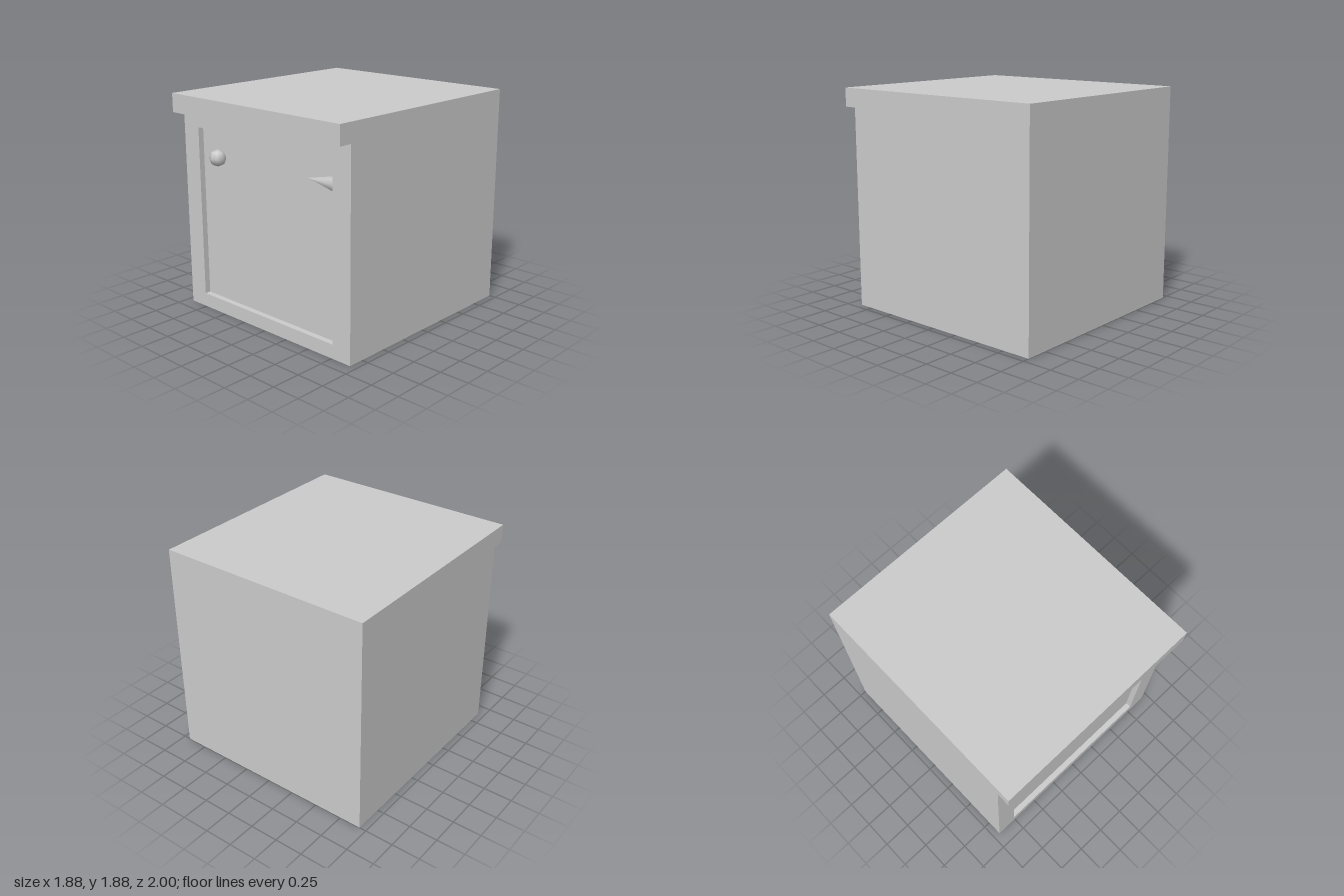
import * as THREE from 'three';

export function createModel() {
  const group = new THREE.Group();
  const material = new THREE.MeshStandardMaterial({ color: 0xcccccc });
  const W = 1.88, H = 1.88, lidY = 1.72;
  const back = -1, panelZ = 0.835, frontZ = 0.885, lidZ = 1;

  const add = (name, geometry, x, y, z) => {
    const mesh = new THREE.Mesh(geometry, material);
    mesh.name = name;
    mesh.position.set(x, y, z);
    group.add(mesh);
    return mesh;
  };

  // Cabinet carcass; its front face is the recessed door panel
  add('cabinetBody', new THREE.BoxGeometry(W, lidY, panelZ - back), 0, lidY / 2, (panelZ + back) / 2);

  // Raised frame around the door panel
  const rect = (Type, x, y0, y1) => {
    const path = new Type();
    path.moveTo(-x, y0).lineTo(x, y0).lineTo(x, y1).lineTo(-x, y1).closePath();
    return path;
  };
  const outline = rect(THREE.Shape, W / 2, 0, lidY);
  outline.holes.push(rect(THREE.Path, 0.76, 0.12, 1.6));
  add('doorFrame', new THREE.ExtrudeGeometry(outline, { depth: frontZ - panelZ, bevelEnabled: false }), 0, 0, panelZ);

  // Worktop overhanging at the front
  add('worktop', new THREE.BoxGeometry(W, H - lidY, lidZ - back), 0, (H + lidY) / 2, (lidZ + back) / 2);

  // Round door knob
  add('knob', new THREE.SphereGeometry(0.072, 8, 4), -0.53, 1.375, 0.88);

  // Flattened pointed hinge, its tip towards the middle of the door
  const hinge = new THREE.ConeGeometry(0.067, 0.3, 8);
  hinge.rotateZ(Math.PI / 2).scale(1, 1, 0.7);
  add('hinge', hinge, 0.61, 1.378, panelZ);

  return group;
}
